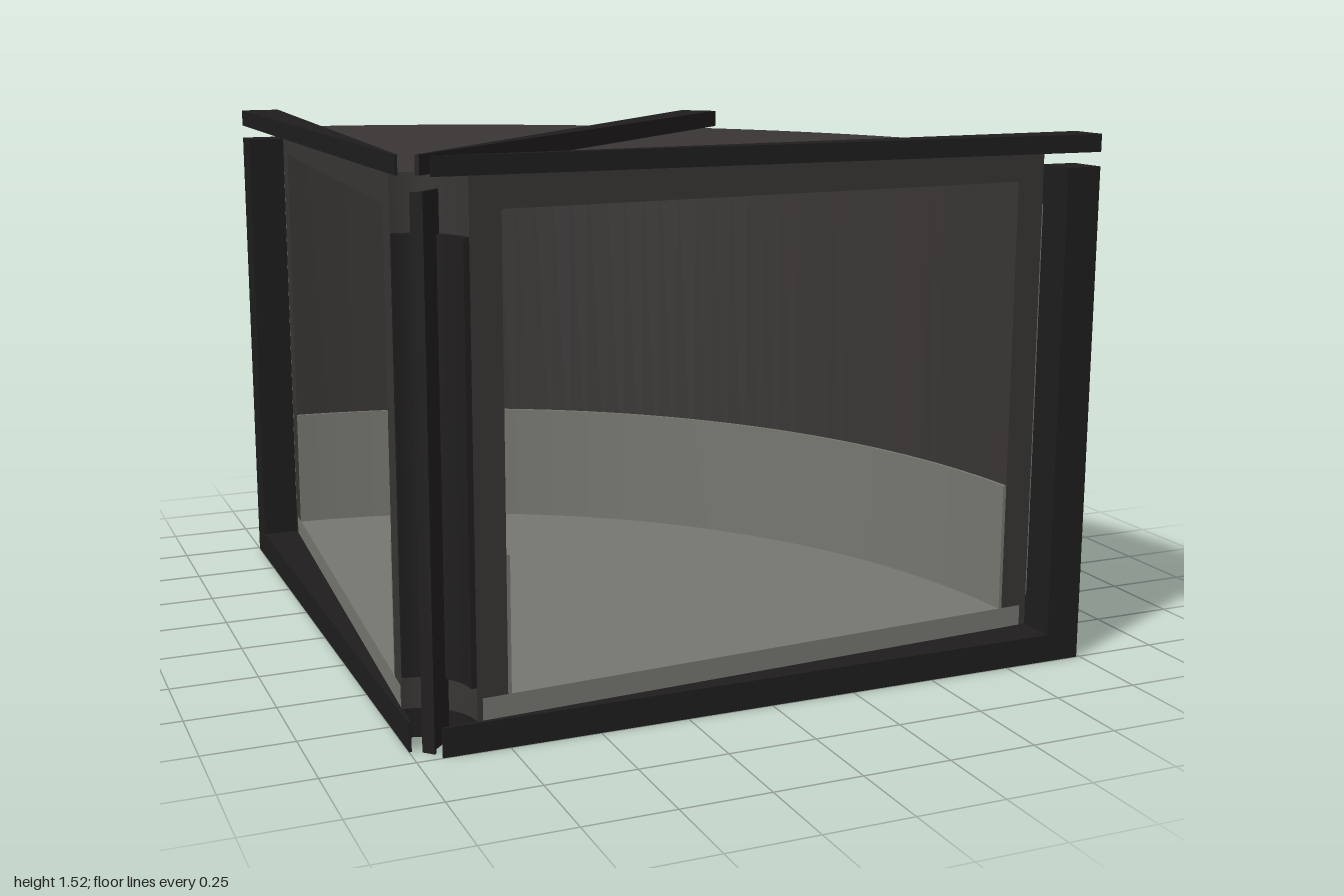
import * as THREE from 'three';

const DEG = Math.PI / 180;
const material = (color) => new THREE.MeshStandardMaterial({ color, side: THREE.DoubleSide });

export function createModel() {
  const model = new THREE.Group();
  model.name = 'quarterRoundBooth';
  const black = material(0x1f1d1d);
  const dark = material(0x383534);
  const grey = material(0x767670);

  // The plan is drawn around the inner corner, angles running from +x to -z
  const plan = new THREE.Group();
  plan.name = 'booth';
  plan.position.set(-1, 0, 1);
  model.add(plan);

  function add(name, geometry, mat) {
    const mesh = new THREE.Mesh(geometry, mat);
    mesh.name = name;
    plan.add(mesh);
    return mesh;
  }

  // Upright extrusion of a plan outline between two heights
  function prism(name, shape, y0, y1, mat, curveSegments = 12) {
    const g = new THREE.ExtrudeGeometry(shape, { depth: y1 - y0, bevelEnabled: false, curveSegments });
    g.rotateX(-Math.PI / 2);
    g.translate(0, y0, 0);
    return add(name, g, mat);
  }

  // Ring segment between two radii and two angles
  function sector(name, r0, r1, a0, a1, y0, y1, mat) {
    const s = new THREE.Shape();
    s.absarc(0, 0, r1, a0 * DEG, a1 * DEG, false);
    s.absarc(0, 0, r0, a1 * DEG, a0 * DEG, true);
    s.closePath();
    return prism(name, s, y0, y1, mat, Math.max(4, Math.round((a1 - a0) / 4)));
  }

  const outline = (points, map) =>
    new THREE.Shape(points.map(([r, w]) => new THREE.Vector2(...map(r, w))));

  const A0 = 3.4, A1 = 86.6, MID = 45, GAP = 53.6;

  // Thick floor and roof slabs
  sector('floorBase', 0.165, 1.885, A0, A1, 0, 0.08, black);
  sector('floorSlab', 0.18, 1.865, A0, A1, 0.08, 0.14, grey);
  sector('roofSlab', 0.18, 1.865, A0, A1, 1.385, 1.47, dark);

  // Thick curved walls at the outside and the inner corner, each with a skin
  sector('outerWall', 1.8, 1.865, A0, A1, 0.14, 1.385, dark);
  sector('outerSkin', 1.865, 1.885, A0, A1, 0.08, 1.47, dark);
  sector('cornerWall', 0.18, 0.25, A0, A1, 0.14, 1.385, dark);
  sector('cornerSkin', 0.165, 0.18, A0, A1, 0.08, 1.47, dark);

  // Low linings inside
  sector('outerLining', 1.79, 1.8, A0, A1, 0.14, 0.51, grey);
  sector('cornerLining', 0.25, 0.26, A0, A1, 0.14, 0.51, grey);

  // Cladding panels outside
  sector('outerPanel', 1.885, 1.907, A0, GAP - 0.5, 0.17, 1.32, grey);
  sector('outerPanel', 1.885, 1.907, GAP + 0.5, A1, 0.17, 1.32, grey);
  sector('cornerPanel', 0.15, 0.165, A0, A1, 0.17, 1.32, black);

  // Ribs: tapered beams, outer posts and bolts at both sides and the middle
  const c = Math.SQRT1_2;
  const ribs = [
    { name: 'front', angle: 0, map: (r, w) => [r, w + 0.06] },
    { name: 'side', angle: 90, map: (r, w) => [w + 0.06, r] },
    { name: 'middle', angle: MID, map: (r, w) => [(r - w) * c, (r + w) * c] },
  ];
  for (const { name, angle, map } of ribs) {
    const middle = name === 'middle';
    const tip = middle ? [[0.07, 0.006], [0.07, -0.006]] : [[0.07, -0.053], [0.07, -0.06]];
    const beam = outline([...tip, [1.99, -0.06], [1.99, 0.06]], map);
    prism(name + 'TopBeam', beam, 1.47, 1.52, black);
    if (!middle) prism(name + 'BottomBeam', beam, 0, 0.08, black);
    const post = outline([[1.885, -0.06], [1.99, -0.06], [1.99, 0.06], [1.885, 0.06]], map);
    prism(name + 'Post', post, 0, 1.43, black);

    for (const y of [0.23, 0.77, 1.3]) {
      const [x, d] = map(1.985, 0);
      const bolt = add(name + 'Bolt', new THREE.CylinderGeometry(0.01, 0.01, 0.03, 8).rotateZ(Math.PI / 2), dark);
      bolt.position.set(x, y, -d);
      bolt.rotation.y = angle * DEG;
    }
  }

  // Thin T-shaped fin at the inner corner
  const midMap = ribs[2].map;
  prism('cornerFin', outline([[0.07, -0.005], [0.165, -0.005], [0.165, 0.005], [0.07, 0.005]], midMap), 0, 1.43, black);
  prism('cornerFinFlange', outline([[0.062, -0.018], [0.07, -0.018], [0.07, 0.018], [0.062, 0.018]], midMap), 0, 1.43, black);

  return model;
}
